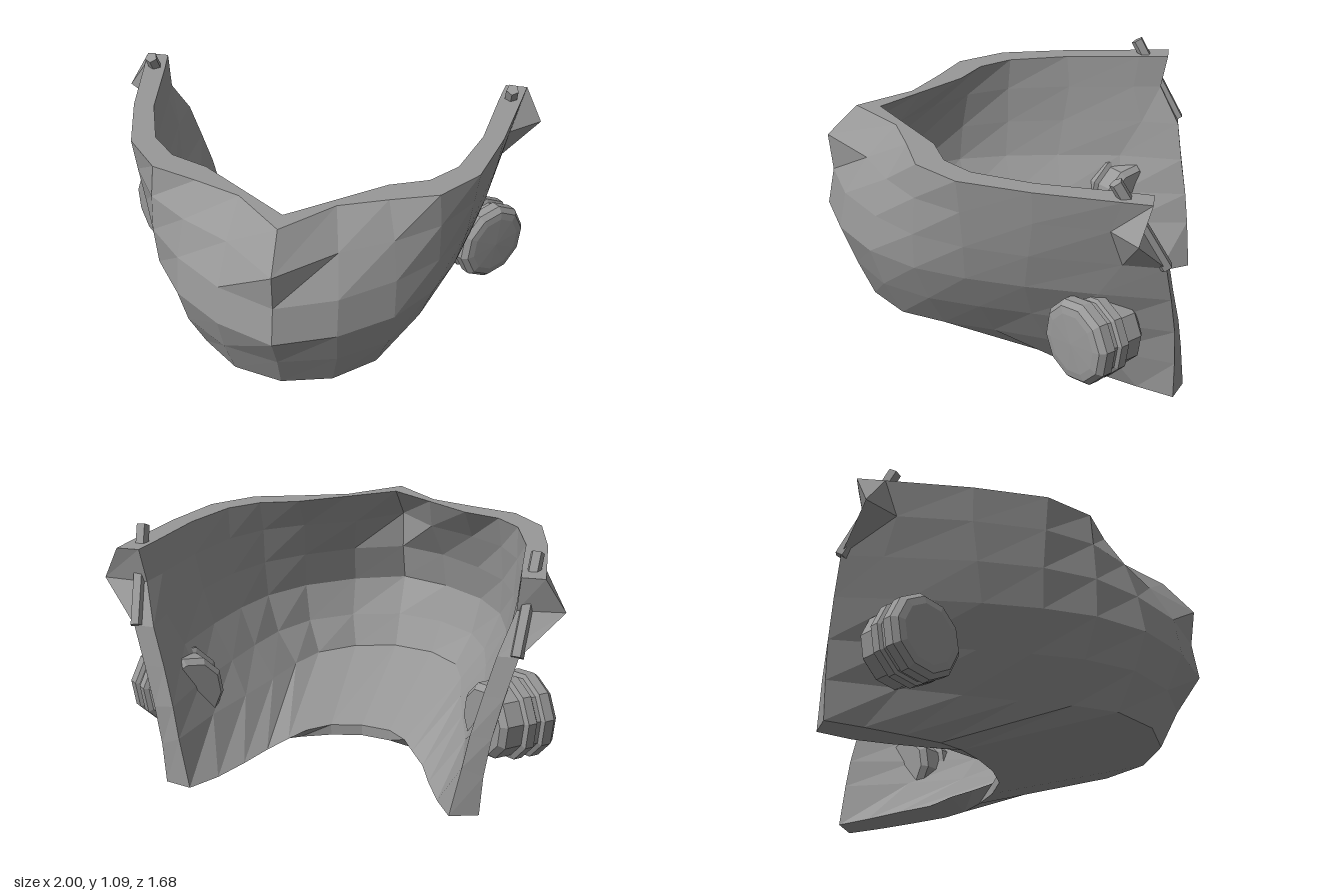
import * as THREE from 'three';

const V = (x, y, z) => new THREE.Vector3(x, y, z);

// Outer half outlines from the front centre to the rear end, as [x, z], top to bottom
const HEIGHTS = [1.01, 0.86, 0.69, 0.52, 0.345, 0.175, 0];
const OUTLINES = [
  [[0, .69], [.21, .47], [.42, .385], [.63, .31], [.78, .12], [.855, -.2], [.905, -.57], [.92, -.69]],
  [[0, .83], [.24, .6], [.46, .47], [.64, .32], [.76, .11], [.83, -.2], [.865, -.52], [.88, -.72]],
  [[0, .81], [.26, .7], [.48, .52], [.64, .33], [.735, .1], [.79, -.18], [.82, -.57], [.83, -.75]],
  [[0, .84], [.26, .73], [.48, .55], [.62, .33], [.69, .1], [.735, -.16], [.765, -.47], [.78, -.775]],
  [[0, .73], [.25, .66], [.45, .5], [.56, .28], [.61, .05], [.645, -.18], [.69, -.48], [.735, -.795]],
  [[0, .65], [.22, .59], [.39, .43], [.46, .23], [.505, 0], [.56, -.24], [.625, -.5], [.705, -.8]],
  [[0, -.08], [.14, -.11], [.27, -.17], [.38, -.24], [.46, -.33], [.54, -.48], [.62, -.64], [.69, -.8]],
];
// Wall thickness and floor lift of each row
const THICKNESS = [0, .085, .07, .055, .055, .055, 0];
const LIFT = [0, 0, 0, 0, .01, .04, 0];
// Inner edge of the top rim, as [x, z]
const RIM = [[0, .58], [.2, .425], [.4, .27], [.57, .2], [.68, .07], [.76, -.2], [.8, -.55], [.82, -.69]];
// Upper edge of the bottom lip, as [x, y, z]
const LIP = [[0, .05, -.08], [.14, .05, -.11], [.23, .05, -.2], [.29, .04, -.3],
  [.36, .02, -.4], [.42, .01, -.55], [.49, 0, -.7], [.57, 0, -.84]];

// Mirrors a half row into a full row running from -x to +x
const mirrorRow = half => [...half.slice(1).reverse().map(p => V(-p.x, p.y, p.z)), ...half];
const flatRow = (outline, y) => mirrorRow(outline.map(([x, z]) => V(x, y, z)));

// Moves a row inward by the wall thickness, with thicker rear ends
function insetRow(row, thickness, lift) {
  const last = row.length - 1;
  return row.map((p, i) => {
    const a = row[Math.max(i - 1, 0)], b = row[Math.min(i + 1, last)];
    const n = V(b.z - a.z, 0, a.x - b.x).normalize();
    const t = i === 0 || i === last ? 0.09 : thickness;
    return p.clone().addScaledVector(n, t).add(V(0, lift, 0));
  });
}

function shellGeometry() {
  const outer = OUTLINES.map((o, r) => flatRow(o, HEIGHTS[r]));
  const inner = outer.map((row, r) => insetRow(row, THICKNESS[r], LIFT[r]));
  inner[0] = flatRow(RIM, HEIGHTS[0]);
  inner[6] = mirrorRow(LIP.map(p => V(...p)));
  const last = outer[0].length - 1;
  // Flared, hollow-backed points at the upper rear corners
  for (const [i, s] of [[0, -1], [last, 1]]) {
    outer[1][i] = V(s, 0.86, -0.64);
    inner[1][i] = V(s * 0.8, 0.86, -0.66);
  }

  const loop = [...outer, ...inner.slice().reverse()];
  const pos = [];
  const quad = (a, b, c, d) => {
    for (const p of [a, b, d, b, c, d]) pos.push(p.x, p.y, p.z);
  };
  // Outside, lip, inside and top rim
  loop.forEach((row, r) => {
    const next = loop[(r + 1) % loop.length];
    for (let c = 0; c < last; c++) quad(row[c], next[c], next[c + 1], row[c + 1]);
  });
  // Rear end faces
  for (let r = 0; r < outer.length - 1; r++) {
    quad(outer[r][last], outer[r + 1][last], inner[r + 1][last], inner[r][last]);
    quad(inner[r][0], inner[r + 1][0], outer[r + 1][0], outer[r][0]);
  }
  const g = new THREE.BufferGeometry();
  g.setAttribute('position', new THREE.Float32BufferAttribute(pos, 3));
  g.computeVertexNormals();
  return g;
}

export function createModel() {
  const group = new THREE.Group();
  const metal = new THREE.MeshStandardMaterial({ color: 0x999999, flatShading: true });
  metal.name = 'grey metal';
  const add = (name, geometry) => {
    const m = new THREE.Mesh(geometry, metal);
    m.name = name;
    group.add(m);
    return m;
  };

  add('jawShell', shellGeometry());

  // Ribbed filter profile, from the inner end to the outer face
  const filterProfile = [[0, -.265], [.14, -.265], [.165, -.24], [.165, -.16], [.187, -.15], [.187, -.11],
    [.172, -.1], [.172, -.08], [.19, -.07], [.19, -.025], [.168, 0], [.135, .006], [0, .01]]
    .map(p => new THREE.Vector2(...p));

  for (const [side, s] of [['left', 1], ['right', -1]]) {
    // Filter pointing outward and forward
    const filter = add(side + 'Filter', new THREE.LatheGeometry(filterProfile, 10));
    filter.position.set(s * 0.84, 0.32, -0.373);
    filter.quaternion.setFromUnitVectors(V(0, 1, 0), V(s * 0.72, 0, 0.69).normalize());

    // Strap pin spanning the hollow rear of the flared corner
    const top = V(s * 0.86, 1.075, -0.535), bottom = V(s * 0.82, 0.69, -0.75);
    const pin = add(side + 'StrapPin', new THREE.CylinderGeometry(0.03, 0.03, top.distanceTo(bottom), 5));
    pin.position.copy(top).lerp(bottom, 0.5);
    pin.quaternion.setFromUnitVectors(V(0, 1, 0), top.clone().sub(bottom).normalize());
  }
  return group;
}
